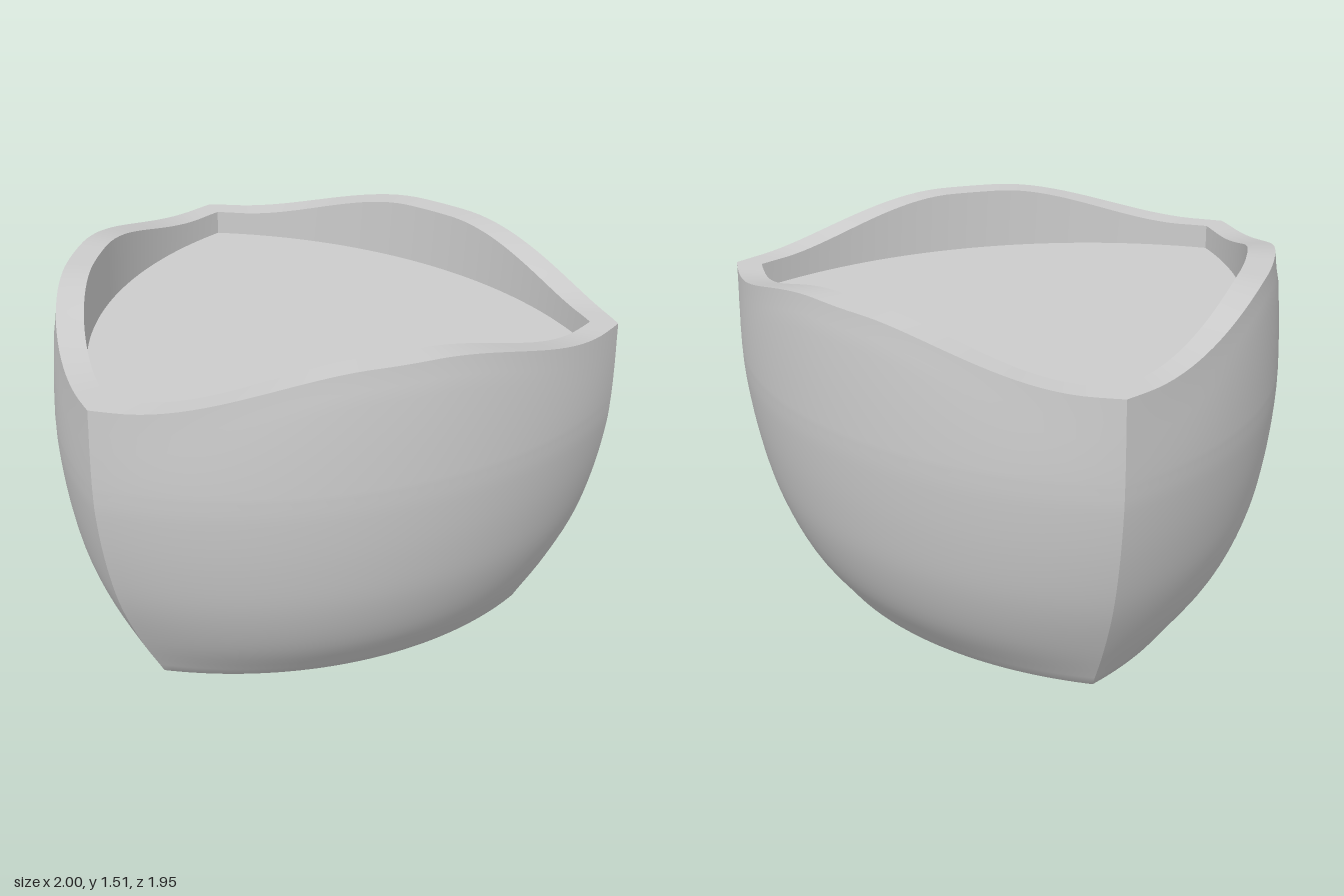
import * as THREE from 'three';

const CENTRE = 0.107; // axis of the three-sided section
const SEG = 48;

// Rim wave: 1 in the middle of each side, 0 near the corners
const wave = (u) => 1 - THREE.MathUtils.smoothstep(Math.abs(u), 0.1, 0.9);

// Point on one bowed side; rc = corner radius, rm = mid-side radius, u in -1..1
function sidePoint(angle, rc, rm, y, u) {
  const half = rc * Math.sin(Math.PI / 3);
  const flat = rc / 2;
  const sag = rm - flat;
  let out = flat, along = half * u;
  if (sag > 1e-5) {
    const R = (half * half + sag * sag) / (2 * sag);
    const phi = Math.asin(half / R) * u;
    out = rm - R * (1 - Math.cos(phi));
    along = R * Math.sin(phi);
  }
  const c = Math.cos(angle), s = Math.sin(angle);
  return [CENTRE + out * c - along * s, y, out * s + along * c];
}

// Grid through rows of [rc, rm, base y, wave height]
function sideStrip(angle, rows) {
  const pos = [], idx = [], n = SEG + 1;
  rows.forEach(([rc, rm, y, h = 0], i) => {
    for (let j = 0; j <= SEG; j++) {
      const u = (j / SEG) * 2 - 1;
      pos.push(...sidePoint(angle, rc, rm, y + h * wave(u), u));
      if (i < rows.length - 1 && j < SEG) {
        const a = i * n + j, b = a + n;
        idx.push(a, b, a + 1, b, b + 1, a + 1);
      }
    }
  });
  const g = new THREE.BufferGeometry();
  g.setAttribute('position', new THREE.Float32BufferAttribute(pos, 3));
  g.setIndex(idx);
  g.computeVertexNormals();
  return g;
}

// Smooth profile through [rc, rm, y] points
function smoothRows(points, count) {
  const curve = new THREE.CatmullRomCurve3(points.map((p) => new THREE.Vector3(...p)));
  return curve.getPoints(count).map((p) => [p.x, p.y, p.z]);
}

export function createModel() {
  const group = new THREE.Group();
  const material = new THREE.MeshStandardMaterial({ color: 0xcccccc });

  // Shallow pointed underside, then the swelling wall
  const underside = smoothRows([
    [0, 0, 0], [0.2, 0.15, 0.03], [0.48, 0.355, 0.1], [0.7, 0.52, 0.17], [0.808, 0.6, 0.215],
  ], 14);
  const wall = smoothRows([
    [0.808, 0.6, 0.215], [0.917, 0.74, 0.4], [1.01, 0.825, 0.6],
    [1.067, 0.868, 0.8], [1.1, 0.89, 1.0], [1.106, 0.893, 1.1],
  ], 24).slice(1);
  const upper = [
    [1.107, 0.889, 1.16, 0.07],
    [1.107, 0.878, 1.24, 0.16],
    [1.106, 0.868, 1.3, 0.15],
    [1.105, 0.86, 1.38, 0.135],
  ];

  const parts = {
    outerWall: [...underside, ...wall, ...upper],
    rim: [[1.105, 0.86, 1.38, 0.135], [1.007, 0.763, 1.38, 0.135]],
    innerWall: [[1.007, 0.763, 1.38, 0.135], [1.007, 0.763, 1.29]],
    floor: [[1.007, 0.763, 1.29], [0.5, 0.38, 1.29], [0, 0, 1.29]],
  };

  // Three equal sides around the axis, creased at the corners
  for (const [name, rows] of Object.entries(parts)) {
    const part = new THREE.Group();
    part.name = name;
    for (let k = 0; k < 3; k++) {
      const mesh = new THREE.Mesh(sideStrip((k * Math.PI * 2) / 3, rows), material);
      mesh.name = `${name}Side${k + 1}`;
      part.add(mesh);
    }
    group.add(part);
  }
  return group;
}
